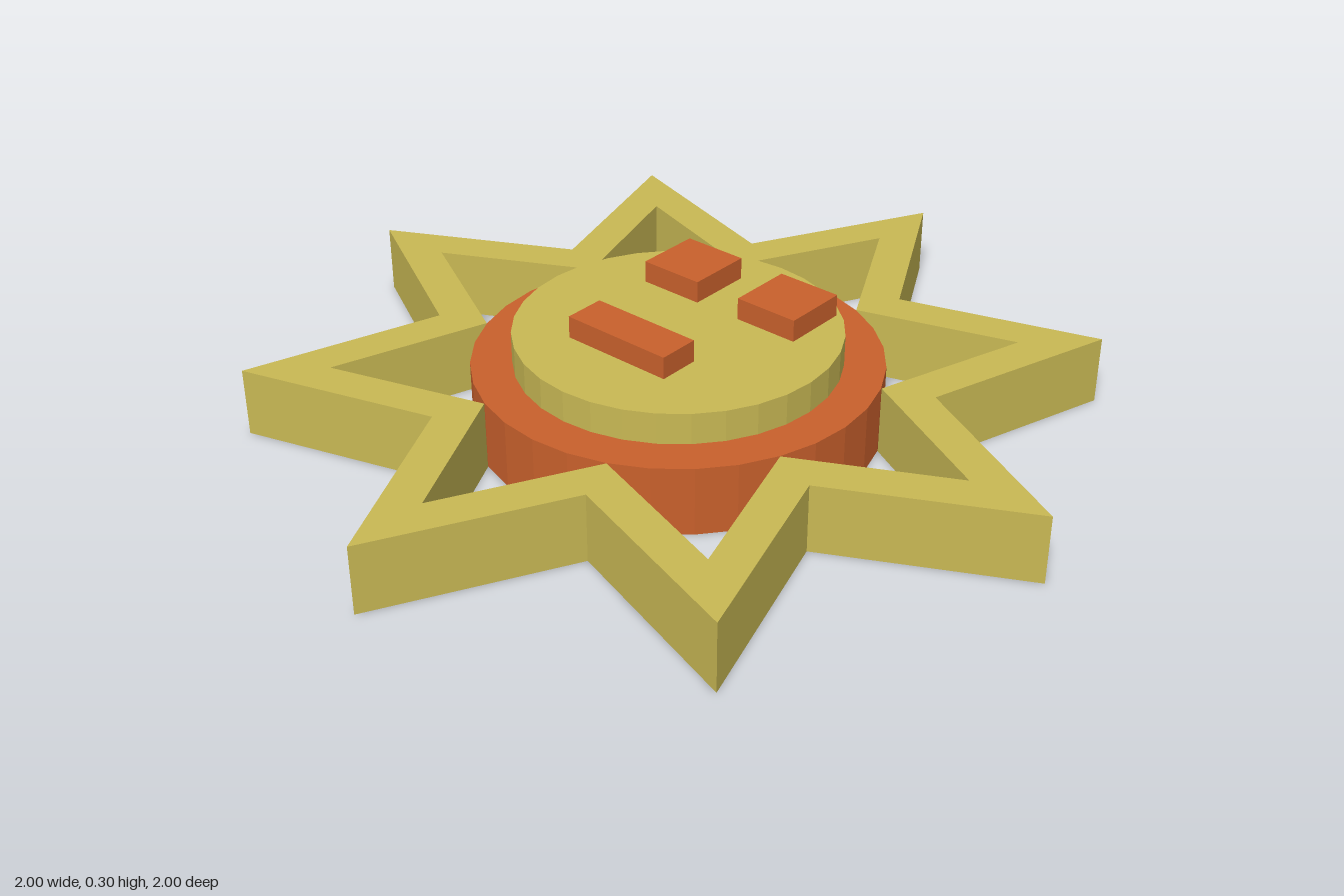
import * as THREE from 'three';

const yellow = new THREE.MeshStandardMaterial({ color: 0xc8b854, flatShading: true });
const orange = new THREE.MeshStandardMaterial({ color: 0xc8602c, flatShading: true });

// Eight-pointed star outline, one tip on each axis
function starPoints(tip, valley) {
  return Array.from({ length: 16 }, (_, i) => {
    const r = i % 2 ? valley : tip;
    const a = (i * Math.PI) / 8;
    return new THREE.Vector2(r * Math.cos(a), r * Math.sin(a));
  });
}

export function createModel() {
  const group = new THREE.Group();
  const add = (name, geometry, material, x, y, z) => {
    const mesh = new THREE.Mesh(geometry, material);
    mesh.name = name;
    mesh.position.set(x, y, z);
    group.add(mesh);
    return mesh;
  };
  const rim = 0.168, faceTop = 0.244, featureTop = 0.298;

  // Open star frame forming the rays
  const star = new THREE.Shape(starPoints(1, 0.605));
  star.holes.push(new THREE.Path(starPoints(0.8, 0.482).reverse()));
  const rays = new THREE.ExtrudeGeometry(star, { depth: rim, bevelEnabled: false });
  rays.rotateX(-Math.PI / 2);
  add('rays', rays, yellow, 0, 0, 0);

  // Stacked discs: base and raised face
  const disc = (name, radius, bottom, top, material) =>
    add(name, new THREE.CylinderGeometry(radius, radius, top - bottom, 32), material, 0, (top + bottom) / 2, 0);
  disc('baseDisc', 0.481, 0, rim, orange);
  disc('faceDisc', 0.384, rim, faceTop, yellow);

  // Block features on the face
  const block = (name, w, d, x, z) =>
    add(name, new THREE.BoxGeometry(w, featureTop - faceTop, d), orange, x, (featureTop + faceTop) / 2, z);
  block('rightEye', 0.163, 0.163, -0.122, -0.197);
  block('leftEye', 0.163, 0.163, 0.163, -0.197);
  block('mouth', 0.285, 0.102, -0.011, 0.15);

  return group;
}
